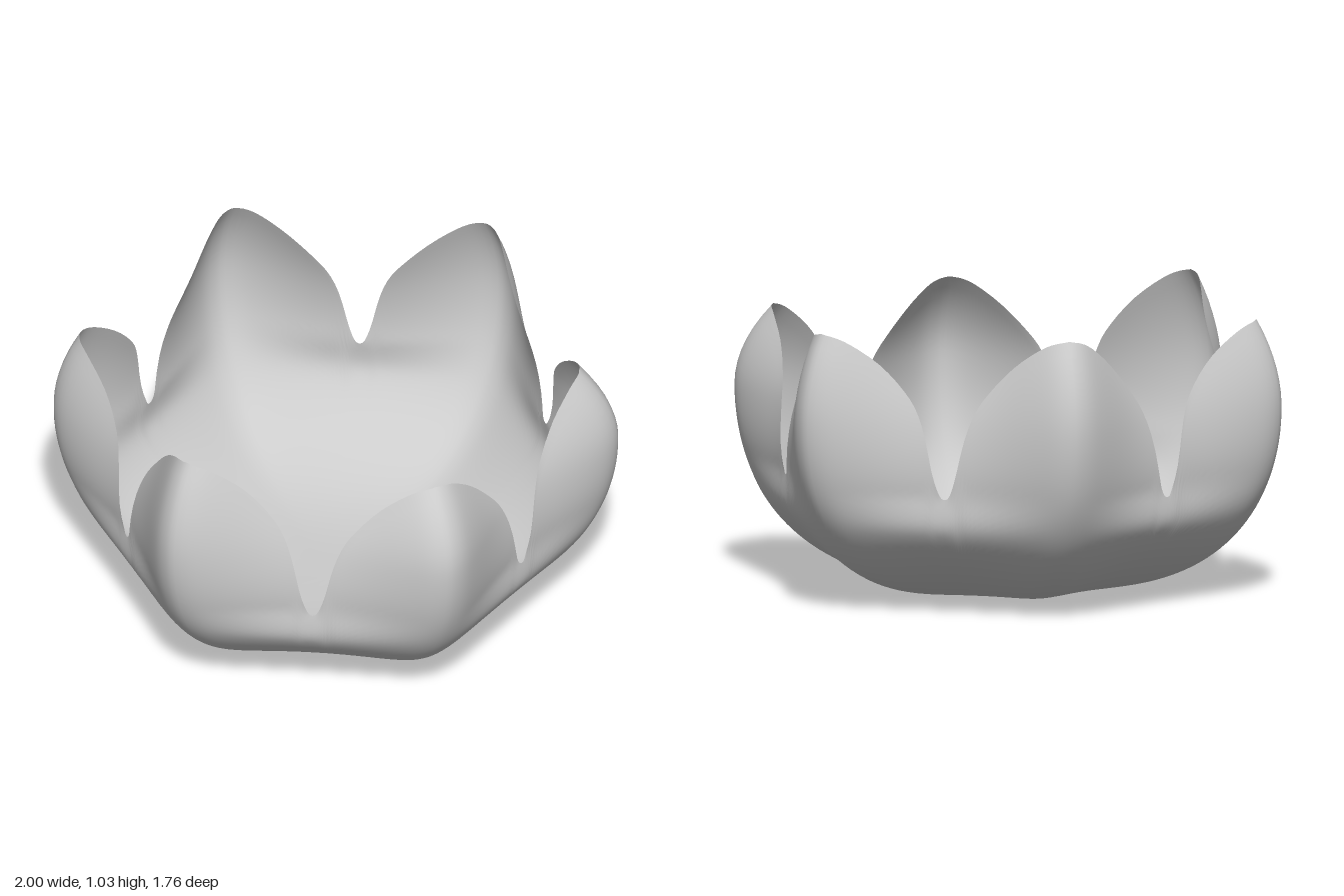
import * as THREE from 'three';

const { degToRad, smoothstep } = THREE.MathUtils;

// Rim of half a petal: degrees from the petal axis, and height from notch (0) to tip (1)
const rim = new THREE.SplineCurve([
  [0, 1], [3.5, 0.98], [7, 0.93], [12.5, 0.82], [18, 0.68], [22, 0.55], [24.8, 0.38], [27.2, 0.13], [28.8, 0.02], [30, 0],
].map(([a, u]) => new THREE.Vector2(a, u)));

// Per petal, counter-clockwise from +x towards +z: tip height, inward lean of the tip, height of the notch that follows
const petals = [
  { tip: 1.0, lean: 0.1, notch: 0.43 },
  { tip: 0.97, lean: 0.19, notch: 0.41 },
  { tip: 0.97, lean: 0.19, notch: 0.42 },
  { tip: 1.03, lean: 0.1, notch: 0.42 },
  { tip: 0.99, lean: 0.11, notch: 0.41 },
  { tip: 1.01, lean: 0.11, notch: 0.43 },
];

// Radius of the bowl along a petal axis
function axisRadius(y, lean) {
  const belly = 0.68;
  if (y > belly) return 1 - lean * ((y - belly) / 0.34) ** 2;
  return Math.max(0, 1 - (1 - y / belly) ** 2) ** 0.3;
}

// How far the wall is drawn in between petals: full below the notches, pinched at them, cupped towards the tips
function cupping(y) {
  const belly = 0.15 - 0.045 * smoothstep(y, 0, 0.3) + 0.05 * smoothstep(y, 0.3, 0.45);
  return belly + 0.13 * (Math.max(0, y - 0.4) / 0.6) ** 1.2;
}

// Plan outline between axis (0) and notch (1): a hexagon with rounded corners
function planDip(offset) {
  const rounding = 6;
  const soften = (a) => Math.hypot(a, rounding) - rounding;
  const angle = 30 * soften(offset) / soften(30);
  const flat = Math.cos(degToRad(30));
  return (1 - flat / Math.cos(degToRad(30 - angle))) / (1 - flat);
}

// Columns around the bowl, each petal mirrored about its axis
function rimColumns(half) {
  const columns = [];
  petals.forEach(({ tip, lean, notch }, p) => {
    for (let i = -half; i < half; i++) {
      const { x: offset, y: u } = rim.getPoint(Math.abs(i) / half);
      const low = i < 0 ? petals[(p + 5) % 6].notch : notch;
      columns.push({
        angle: degToRad(p * 60 + Math.sign(i) * offset),
        dip: planDip(offset),
        height: low + (tip - low) * u,
        lean,
      });
    }
  });
  return columns;
}

function bowlGeometry(rows = 44) {
  const columns = rimColumns(24);
  const n = columns.length;
  const positions = [0, 0, 0];
  const index = [];
  for (let j = 1; j <= rows; j++) {
    for (const { angle, dip, height, lean } of columns) {
      const y = height * (j / rows) ** 2;
      const r = axisRadius(y, lean) * (1 - cupping(y) * dip);
      positions.push(r * Math.cos(angle), y, r * Math.sin(angle));
    }
  }
  for (let i = 0; i < n; i++) {
    const k = (i + 1) % n;
    index.push(0, 1 + i, 1 + k);
    for (let j = 0; j < rows - 1; j++) {
      const a = 1 + j * n + i, b = 1 + j * n + k;
      index.push(a, a + n, b, b, a + n, b + n);
    }
  }
  const geometry = new THREE.BufferGeometry();
  geometry.setAttribute('position', new THREE.Float32BufferAttribute(positions, 3));
  geometry.setIndex(index);
  geometry.computeVertexNormals();
  return geometry;
}

export function createModel() {
  const group = new THREE.Group();
  group.name = 'lotusBowl';
  const material = new THREE.MeshStandardMaterial({ color: 0xcccccc, side: THREE.DoubleSide });
  const bowl = new THREE.Mesh(bowlGeometry(), material);
  bowl.name = 'petalBowl';
  group.add(bowl);
  return group;
}
